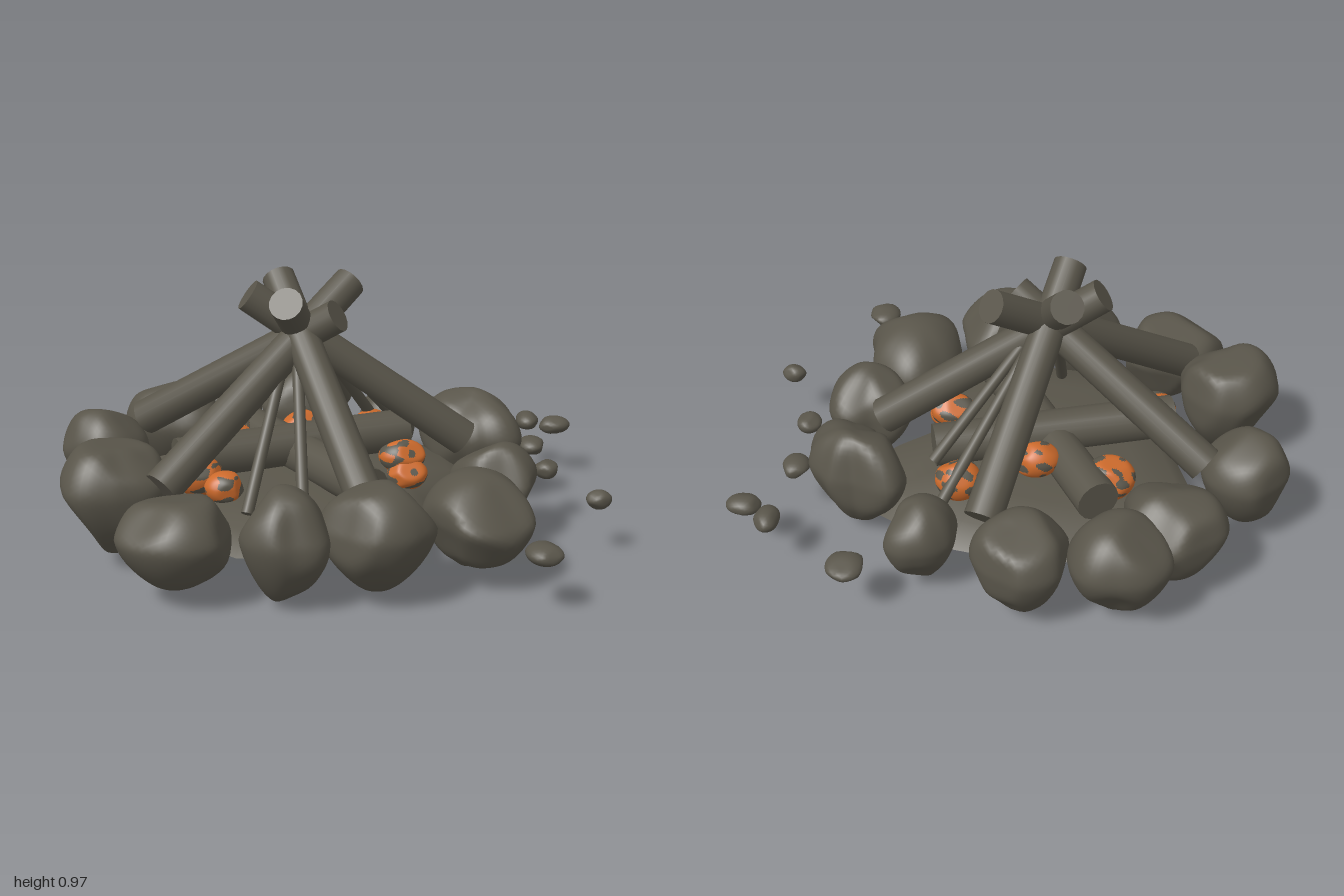
import * as THREE from 'three';
import { mergeVertices } from 'three/addons/utils/BufferGeometryUtils.js';

const charcoal = new THREE.MeshStandardMaterial({ color: 0x59554a, side: THREE.DoubleSide });
charcoal.name = 'charcoal';
const glow = new THREE.MeshStandardMaterial({ color: 0xcc6a2c });
glow.name = 'glowing orange';

function seeded(seed) {
  let s = seed * 7919 + 17;
  return () => {
    s = (s * 16807) % 2147483647;
    return s / 2147483647;
  };
}

// Irregular rock: a sphere softly trimmed by random planes, tapered below, fitted to its half sizes
function rockGeometry(seed, hx, hy, hz, detail, cuts, taper) {
  const rand = seeded(seed);
  for (let i = 0; i < 5; i++) rand();
  let geo = new THREE.IcosahedronGeometry(1, detail);
  geo.deleteAttribute('uv');
  geo.deleteAttribute('normal');
  geo = mergeVertices(geo, 1e-4);
  const planes = [];
  for (let i = 0; i < cuts; i++) {
    const y = rand() * 2 - 1, a = rand() * Math.PI * 2, r = Math.sqrt(1 - y * y);
    planes.push({ n: new THREE.Vector3(r * Math.cos(a), y, r * Math.sin(a)), d: 0.78 + 0.2 * rand() });
  }
  const pos = geo.attributes.position, v = new THREE.Vector3();
  for (let i = 0; i < pos.count; i++) {
    v.fromBufferAttribute(pos, i).normalize();
    let sum = 1;
    for (const p of planes) sum += Math.max(0, v.dot(p.n) / p.d) ** 24;
    v.multiplyScalar(sum ** (-1 / 24));
    const w = 1 + taper * Math.min(0, v.y - 0.2);
    pos.setXYZ(i, v.x * w, v.y, v.z * w);
  }
  geo.center();
  geo.computeBoundingBox();
  const b = geo.boundingBox.max;
  geo.scale(hx / b.x, hy / b.y, hz / b.z);
  geo.computeVertexNormals();
  return geo;
}

// Stone: a rock spread to a plan outline of eight radii, starting at +x and turning towards +z
function stoneGeometry(seed, halfHeight, radii) {
  const geo = rockGeometry(seed, 1, halfHeight, 1, 10, 12, 0.32);
  const pos = geo.attributes.position, n = radii.length;
  for (let i = 0; i < pos.count; i++) {
    const x = pos.getX(i), z = pos.getZ(i);
    const turn = ((Math.atan2(z, x) / (Math.PI * 2) + 1) % 1) * n;
    const k = Math.floor(turn), t = (1 - Math.cos((turn - k) * Math.PI)) / 2;
    const r = radii[k % n] * (1 - t) + radii[(k + 1) % n] * t;
    pos.setX(i, x * r);
    pos.setZ(i, z * r);
  }
  geo.computeVertexNormals();
  return geo;
}

function add(group, name, geo, mat, x = 0, y = 0, z = 0) {
  const mesh = new THREE.Mesh(geo, mat);
  mesh.name = name;
  mesh.position.set(x, y, z);
  group.add(mesh);
  return mesh;
}

// Cylinder running from one point to another
function addLog(group, name, from, to, r0, r1) {
  const a = new THREE.Vector3(...from), b = new THREE.Vector3(...to);
  const dir = b.clone().sub(a);
  const mesh = add(group, name, new THREE.CylinderGeometry(r1, r0, dir.length(), 16), charcoal);
  mesh.position.copy(a).add(b).multiplyScalar(0.5);
  mesh.quaternion.setFromUnitVectors(new THREE.Vector3(0, 1, 0), dir.normalize());
}

// Low ash mound with a ragged outline, open underneath
function moundGeometry() {
  const rim = [
    [0.52, -0.05], [0.51, -0.34], [0.2, -0.53], [-0.14, -0.6], [-0.42, -0.5], [-0.72, -0.37],
    [-0.6, 0.03], [-0.62, 0.3], [-0.4, 0.53], [-0.1, 0.57], [0.2, 0.52], [0.3, 0.3], [0.32, 0.1],
  ];
  const rings = [[0, 0.24], [0.3, 0.235], [0.6, 0.22], [0.86, 0.19], [1, 0.128]];
  const n = rim.length, cx = -0.12, pos = [], index = [];
  for (const [f, y] of rings)
    for (const [x, z] of rim) pos.push(cx + (x - cx) * f, y, z * f);
  for (let k = 0; k + 1 < rings.length; k++)
    for (let i = 0; i < n; i++) {
      const j = (i + 1) % n, a = k * n + i, b = k * n + j;
      index.push(a, b, b + n, a, b + n, a + n);
    }
  const geo = new THREE.BufferGeometry();
  geo.setAttribute('position', new THREE.Float32BufferAttribute(pos, 3));
  geo.setIndex(index);
  geo.computeVertexNormals();
  return geo;
}

// Ember: rounded lump whose faces are split into glowing and burnt patches
function emberGeometry(seed, rx, ry, rz) {
  const geo = rockGeometry(seed, rx, ry, rz, 14, 6, 0.1);
  const pos = geo.attributes.position, idx = Array.from(geo.index.array);
  const lists = [[], []];
  for (let i = 0; i < idx.length; i += 3) {
    const t = idx.slice(i, i + 3);
    const mid = (get) => t.reduce((s, k) => s + pos[get](k), 0) / 3;
    const x = mid('getX') * 75 + seed, y = mid('getY') * 80, z = mid('getZ') * 75;
    const noise = Math.sin(x + 1.3 * Math.sin(z)) + Math.sin(z * 1.2 + y) + Math.sin(y * 1.4 - x * 0.6);
    lists[noise > 0.6 ? 1 : 0].push(...t);
  }
  geo.setIndex(lists[0].concat(lists[1]));
  geo.addGroup(0, lists[0].length, 0);
  geo.addGroup(lists[0].length, lists[1].length, 1);
  return geo;
}

export function createModel() {
  const model = new THREE.Group();
  model.name = 'campfire';
  add(model, 'ashMound', moundGeometry(), charcoal);

  // Ring of stones: x, z, bottom, top, eight plan radii
  const stones = new THREE.Group();
  stones.name = 'stoneRing';
  [
    [-0.4, -0.68, 0.05, 0.42, 0.18, 0.16, 0.165, 0.165, 0.18, 0.175, 0.165, 0.19],
    [-0.6, -0.52, 0.05, 0.42, 0.187, 0.2, 0.17, 0.165, 0.17, 0.17, 0.175, 0.195],
    [-0.84, -0.2, 0.05, 0.43, 0.16, 0.155, 0.15, 0.135, 0.16, 0.17, 0.17, 0.165],
    [-0.8, 0.24, 0.04, 0.45, 0.18, 0.21, 0.18, 0.21, 0.187, 0.187, 0.17, 0.187],
    [-0.61, 0.57, 0.05, 0.37, 0.197, 0.187, 0.187, 0.18, 0.19, 0.18, 0.18, 0.2],
    [-0.25, 0.63, 0.01, 0.42, 0.15, 0.19, 0.16, 0.15, 0.145, 0.15, 0.155, 0.15],
    [0.06, 0.65, 0.04, 0.42, 0.2, 0.175, 0.17, 0.187, 0.197, 0.187, 0.17, 0.22],
    [0.42, 0.49, 0.03, 0.39, 0.18, 0.21, 0.235, 0.2, 0.18, 0.185, 0.225, 0.2],
    [0.56, 0.18, 0, 0.38, 0.155, 0.145, 0.13, 0.13, 0.16, 0.175, 0.14, 0.17],
    [0.56, -0.24, 0.04, 0.43, 0.17, 0.215, 0.155, 0.135, 0.185, 0.205, 0.14, 0.135],
    [0.28, -0.56, 0.03, 0.37, 0.115, 0.115, 0.135, 0.135, 0.115, 0.12, 0.135, 0.14],
    [-0.06, -0.7, 0.03, 0.41, 0.17, 0.15, 0.165, 0.17, 0.165, 0.165, 0.165, 0.185],
  ].forEach(([x, z, y0, y1, ...radii], i) => {
    add(stones, 'stone', stoneGeometry(i + 3, (y1 - y0) / 2, radii), charcoal, x, (y0 + y1) / 2, z);
  });
  model.add(stones);

  // Scattered pebbles: x, z, half width, half depth
  const pebbles = new THREE.Group();
  pebbles.name = 'pebbles';
  [
    [0.53, -0.735, 0.065, 0.068], [0.84, -0.505, 0.045, 0.062], [0.935, -0.435, 0.062, 0.05],
    [0.785, -0.21, 0.05, 0.06], [0.78, 0.045, 0.045, 0.05], [0.895, 0.36, 0.046, 0.036],
    [0.59, 0.79, 0.062, 0.068],
  ].forEach(([x, z, hx, hz], i) => {
    add(pebbles, 'pebble', rockGeometry(i + 40, hx, 0.036, hz, 4, 10, 0.1), charcoal, x, 0.21, z);
  });
  model.add(pebbles);

  // Leaning logs crossing at the top
  const logs = new THREE.Group();
  logs.name = 'logs';
  [
    [[-0.69, 0.36, -0.29], [0.0, 0.83, 0.06]],
    [[-0.64, 0.33, 0.38], [0.07, 0.9, -0.15]],
    [[0.07, 0.33, -0.59], [-0.19, 0.9, 0.14]],
    [[0.48, 0.32, -0.03], [-0.31, 0.89, -0.04]],
    [[0.05, 0.29, 0.55], [-0.19, 0.92, -0.17]],
  ].forEach(([a, b]) => addLog(logs, 'leaningLog', a, b, 0.067, 0.06));

  // Two logs lying crossed on the ash
  addLog(logs, 'lyingLog', [-0.32, 0.28, -0.42], [0.08, 0.28, 0.35], 0.078, 0.078);
  addLog(logs, 'lyingLog', [-0.58, 0.31, 0.05], [0.28, 0.31, -0.18], 0.078, 0.078);

  // Thin kindling
  [
    [[-0.35, 0.22, 0.37], [-0.15, 0.8, -0.02]],
    [[-0.16, 0.22, 0.41], [-0.14, 0.8, -0.02]],
    [[0.24, 0.22, -0.41], [-0.12, 0.8, -0.04]],
    [[0.27, 0.32, -0.28], [-0.12, 0.8, -0.02]],
  ].forEach(([a, b]) => addLog(logs, 'kindling', a, b, 0.022, 0.02));
  model.add(logs);

  // Embers: x, y, z, half sizes
  const embers = new THREE.Group();
  embers.name = 'embers';
  [
    [-0.36, 0.27, -0.28, 0.09, 0.08, 0.08], [0.18, 0.265, -0.315, 0.084, 0.08, 0.07],
    [0.235, 0.29, 0.06, 0.085, 0.065, 0.066], [0.25, 0.235, 0.1, 0.075, 0.06, 0.062],
    [-0.51, 0.275, 0.13, 0.09, 0.075, 0.068], [-0.42, 0.25, 0.19, 0.07, 0.06, 0.062],
    [-0.09, 0.31, -0.24, 0.09, 0.07, 0.065],
  ].forEach(([x, y, z, ...half], i) => {
    add(embers, 'ember', emberGeometry(i + 60, ...half), [glow, charcoal], x, y, z);
  });
  model.add(embers);
  return model;
}
